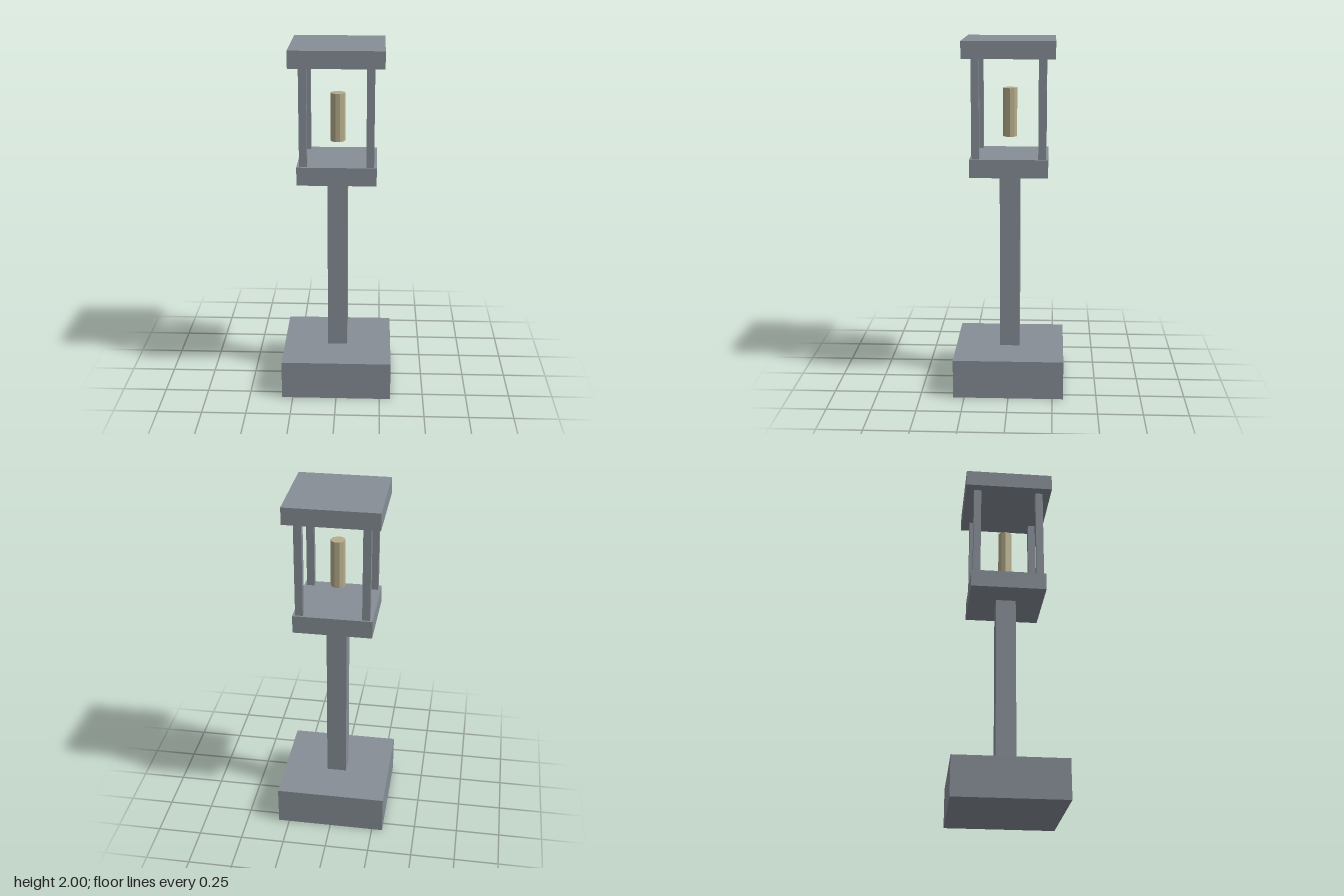
import * as THREE from 'three';

export function createModel() {
  const group = new THREE.Group();
  const stone = new THREE.MeshStandardMaterial({ color: 0x868e96 });
  stone.name = 'greyStone';
  const wax = new THREE.MeshStandardMaterial({ color: 0xb5ac8a, flatShading: true });
  wax.name = 'paleWax';

  // Box spanning y0..y1, centred on (x, z)
  function block(name, w, d, y0, y1, x = 0, z = 0) {
    const mesh = new THREE.Mesh(new THREE.BoxGeometry(w, y1 - y0, d), stone);
    mesh.name = name;
    mesh.position.set(x, (y0 + y1) / 2, z);
    group.add(mesh);
  }

  block('base', 0.624, 0.624, 0, 0.222);
  block('pole', 0.114, 0.114, 0.222, 1.255);
  block('lanternFloor', 0.438, 0.431, 1.255, 1.357);
  block('roof', 0.515, 0.506, 1.905, 2);

  // Four corner posts
  for (const x of [-1, 1])
    for (const z of [-1, 1])
      block('cornerPost', 0.043, 0.043, 1.357, 1.905, x * 0.183, z * 0.183);

  // Ten-sided lamp with corners on the x axis, floating inside the lantern
  const lamp = new THREE.Mesh(new THREE.CylinderGeometry(0.041, 0.041, 0.272, 10), wax);
  lamp.name = 'lamp';
  lamp.rotation.y = Math.PI / 2;
  lamp.position.y = 1.591;
  group.add(lamp);

  return group;
}
